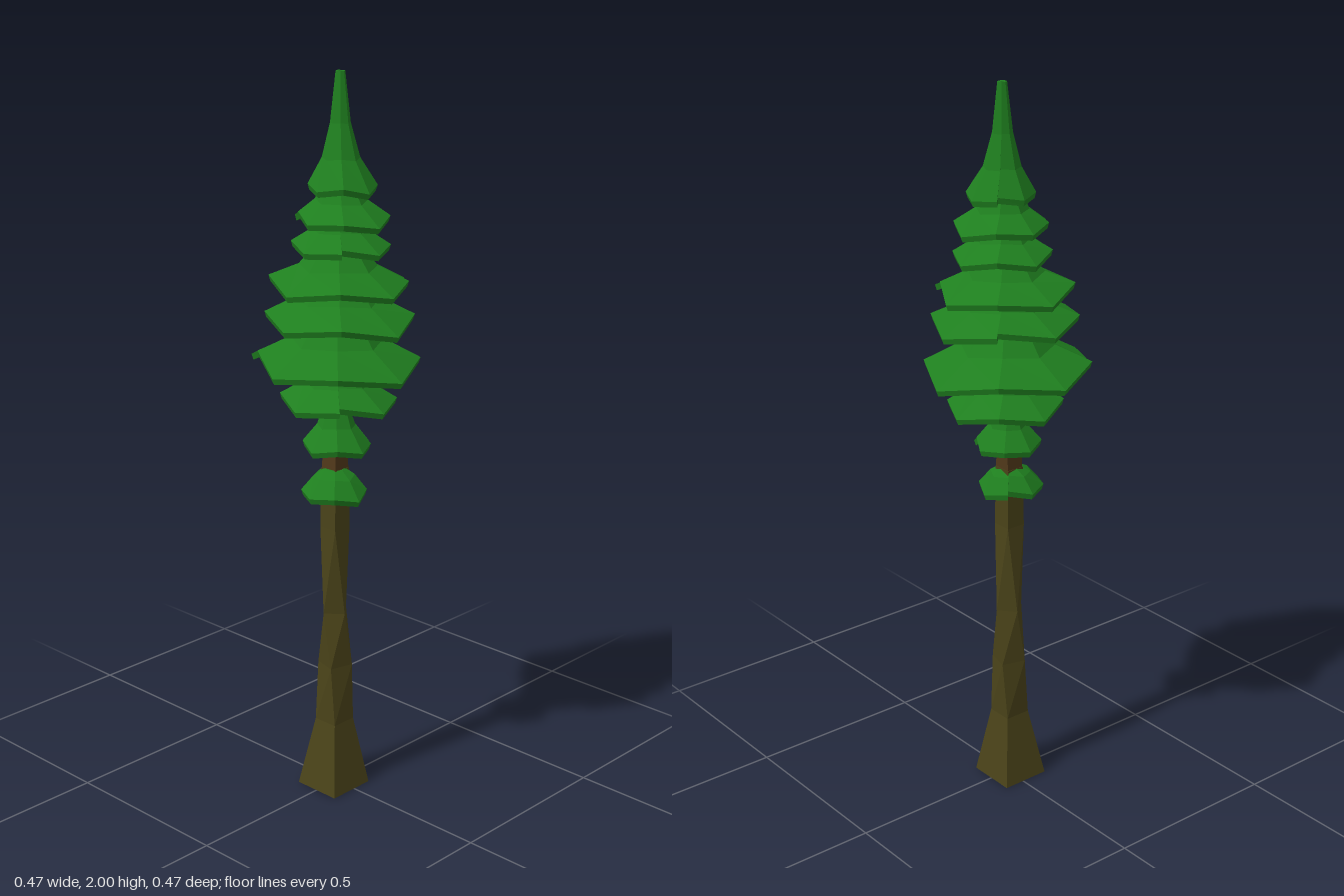
import * as THREE from 'three';

const green = new THREE.MeshStandardMaterial({ color: 0x1f7f1f, flatShading: true });
const bark = new THREE.MeshStandardMaterial({ color: 0x4a4319, flatShading: true });
const innerBark = new THREE.MeshStandardMaterial({ color: 0x50381a, flatShading: true });

// The stem leans slightly: centre of the tree at height y (above the bend)
const axisX = y => -0.013 + (y - 0.9) * 0.034;
const axisZ = y => 0.008 - (y - 0.9) * 0.016;

// Joins columns (arrays of points) into a faceted surface; each column is a closed loop
function loft(columns, material, name, capColumn) {
  const pos = [];
  const quad = (a, b, c, d) => [a, b, c, a, c, d].forEach(p => pos.push(...p));
  const n = columns[0].length;
  for (let i = 0; i < columns.length - 1; i++) {
    for (let k = 0; k < n; k++) {
      const m = (k + 1) % n;
      quad(columns[i + 1][k], columns[i + 1][m], columns[i][m], columns[i][k]);
    }
  }
  capColumn(columns[0], quad);
  capColumn([...columns[columns.length - 1]].reverse(), quad);
  const geometry = new THREE.BufferGeometry();
  geometry.setAttribute('position', new THREE.Float32BufferAttribute(pos, 3));
  geometry.computeVertexNormals();
  const mesh = new THREE.Mesh(geometry, material);
  mesh.name = name;
  return mesh;
}

// Square stem; rings, bottom to top, are [y, half width, centre x, centre z, twist in degrees]
function stem(rings, material, name) {
  const columns = rings.map(([y, half, cx, cz, twist]) =>
    [0, 1, 2, 3].map(k => {
      const a = THREE.MathUtils.degToRad(45 + 90 * k + twist);
      const r = half * Math.SQRT2;
      return [cx + r * Math.cos(a), y, cz + r * Math.sin(a)];
    }));
  return loft(columns, material, name, (c, quad) => quad(c[0], c[1], c[2], c[3]));
}

// Eight-sided hollow skirt of foliage with drooping tips and a stepped seam.
// outer: [radius, height] from neck to rim
function skirt(outer, cx, cz, index) {
  const n = outer.length;
  const rim = outer[n - 1][0];
  const wall = 0.015;
  const inner = outer.map(([r, y], k) => {
    if (k === 0) return [r * 0.35, y];
    return [Math.max(r - (k === n - 1 ? 0.005 : wall), 0), y - wall];
  }).reverse();
  const loop = [...outer, ...inner];
  const seam = (index * 2 + 7) % 8;
  const columns = [];
  for (let i = 0; i <= 8; i++) {
    const step = i + seam;
    const a = step * Math.PI / 4;
    const between = step % 2;
    const wobble = Math.sin(step * 2.3 + index * 1.7);
    columns.push(loop.map(([r, y]) => {
      const f = r / rim;
      let radius = r * (between ? 0.95 : 1);
      if (i === 8) radius *= 1 - 0.07 * f;
      const dx = radius * Math.cos(a);
      const dz = radius * Math.sin(a);
      const lift = f * (0.1 * r * between + 0.003 * wobble - 0.02 * dx - 0.03 * dz + (i === 8 ? 0.008 : 0));
      return [
        axisX(y) * (1 - f) + cx * f + dx,
        y + lift,
        axisZ(y) * (1 - f) + cz * f + dz,
      ];
    }));
  }
  return loft(columns, green, 'foliageTier' + (index + 1), (c, quad) => {
    for (let k = 0; k < n - 1; k++) quad(c[k], c[k + 1], c[2 * n - 2 - k], c[2 * n - 1 - k]);
  });
}

export function createModel() {
  const group = new THREE.Group();
  group.name = 'coniferTree';

  // Twisting trunk with a flared foot
  group.add(stem([
    [0, 0.07, -0.01, 0, 0],
    [0.2, 0.037, -0.007, 0, 0],
    [0.37, 0.034, -0.004, 0, 15],
    [0.53, 0.029, -0.005, 0, 50],
    [0.78, 0.028, -0.012, 0.007, 90],
    [0.95, 0.026, axisX(0.95), 0.007, 90],
  ], bark, 'trunk'));

  // Thin upper stem hidden among the foliage
  group.add(stem([
    [0.95, 0.025, axisX(0.95), axisZ(0.95), 0],
    [1.3, 0.017, axisX(1.3), axisZ(1.3), 0],
    [1.72, 0.01, axisX(1.72), axisZ(1.72), 0],
  ], innerBark, 'upperStem'));

  // Tiers: rim height, neck height, rim radius, rim centre x, rim centre z
  const tiers = [
    [0.885, 0.95, 0.093, -0.027, 0.018],
    [1.015, 1.14, 0.096, -0.013, 0.015],
    [1.133, 1.25, 0.164, 0.004, 0.005],
    [1.235, 1.38, 0.235, 0, 0],
    [1.36, 1.48, 0.207, -0.007, 0.02],
    [1.45, 1.56, 0.193, 0.003, 0.007],
    [1.548, 1.65, 0.137, 0.013, 0.005],
    [1.622, 1.73, 0.13, 0.01, 0.014],
  ];
  tiers.forEach(([y, top, r, cx, cz], i) => {
    const rise = top - y;
    const mid = i === 0 ? [r * 0.62, y + rise * 0.7] : [r * 0.56, y + rise * 0.44];
    group.add(skirt([[r * 0.3, top], mid, [r, y]], cx, cz, i));
  });

  // Tall pointed crown
  group.add(skirt([[0.013, 2], [0.028, 1.87], [0.052, 1.78], [0.095, 1.705]], 0.014, 0.01, 8));
  return group;
}
